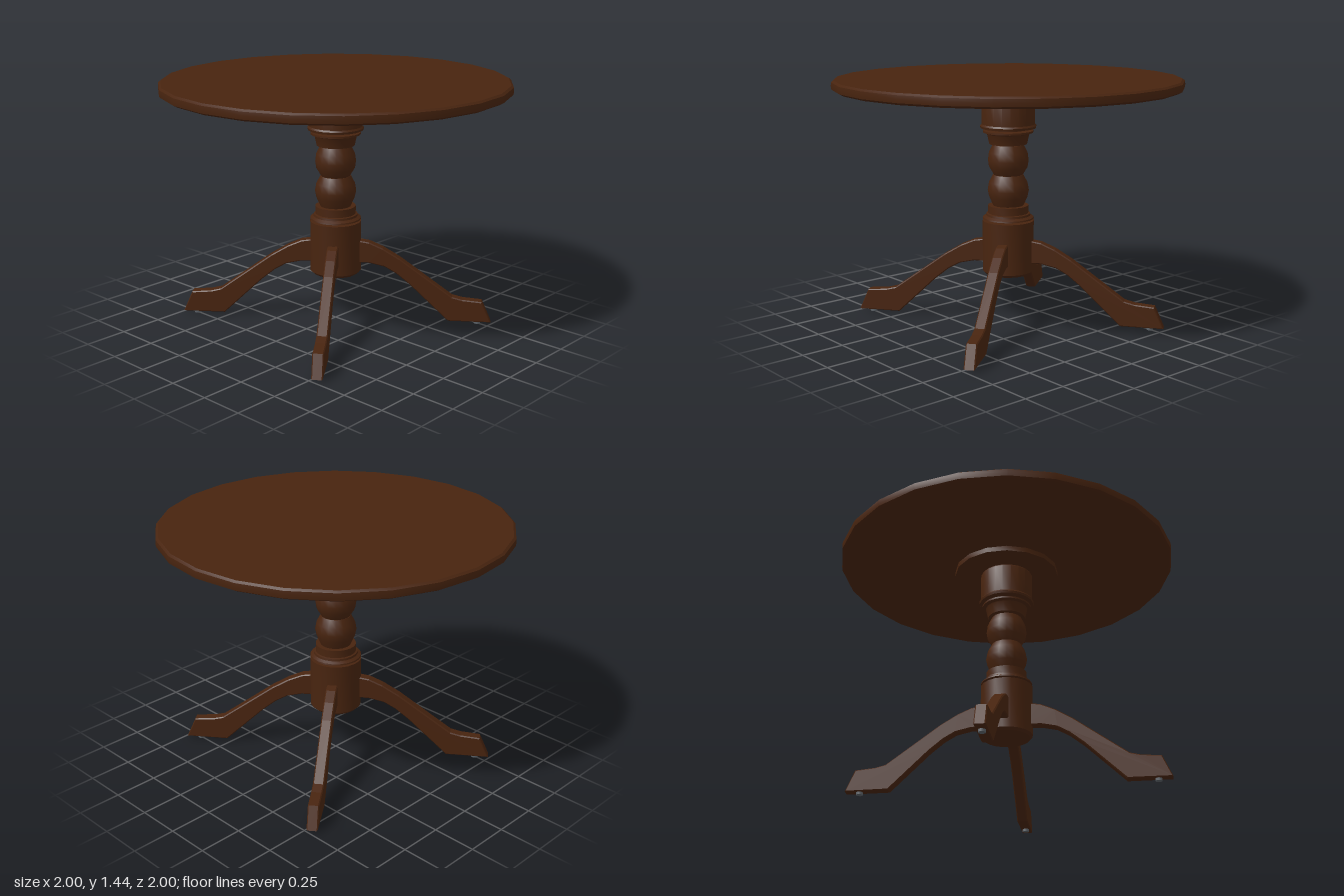
import * as THREE from 'three';
import { toCreasedNormals } from 'three/addons/utils/BufferGeometryUtils.js';

const LEG_ANGLE = 0.638; // the four legs stand a little off the diagonals

export function createModel() {
  const table = new THREE.Group();
  table.name = 'pedestalTable';

  const wood = new THREE.MeshStandardMaterial({ color: 0x48240f });
  wood.name = 'dark wood';
  const felt = new THREE.MeshStandardMaterial({ color: 0x5c6268 });
  felt.name = 'grey felt';

  // Turned part from [radius, height] pairs, listed bottom to top
  function turned(name, profile, sides) {
    const points = profile.map(([r, y]) => new THREE.Vector2(r, y));
    const geometry = toCreasedNormals(new THREE.LatheGeometry(points, sides), 0.65);
    const mesh = new THREE.Mesh(geometry, wood);
    mesh.name = name;
    table.add(mesh);
  }

  // Round top with a softened rim, and its mounting plate
  turned('tabletop', [[0, 1.378], [0.975, 1.378], [0.997, 1.39], [1, 1.41],
    [0.998, 1.43], [0.985, 1.44], [0, 1.44]], 24);
  turned('mountingPlate', [[0, 1.348], [0.31, 1.348], [0.31, 1.379], [0, 1.379]], 16);

  // Pedestal, from the floor end upwards
  turned('columnBase', [[0, 0.295], [0.135, 0.295], [0.15, 0.31], [0.15, 0.61], [0, 0.61]], 20);
  turned('lowerCollar', [[0.1, 0.61], [0.1, 0.62], [0.15, 0.622], [0.148, 0.63], [0.13, 0.64],
    [0.128, 0.652], [0.118, 0.655], [0.118, 0.7], [0, 0.7]], 20);
  turned('lowerBall', [[0, 0.698], [0.09, 0.7], [0.112, 0.75], [0.12, 0.79],
    [0.112, 0.835], [0.088, 0.88], [0, 0.882]], 16);
  turned('upperBall', [[0, 0.878], [0.085, 0.88], [0.112, 0.925], [0.118, 0.965],
    [0.112, 1.01], [0.09, 1.055], [0, 1.057]], 16);
  turned('upperCollar', [[0, 1.057], [0.11, 1.06], [0.122, 1.115], [0.125, 1.12],
    [0.145, 1.126], [0.145, 1.137], [0.1, 1.14], [0.1, 1.148], [0.16, 1.152],
    [0.163, 1.165], [0.156, 1.175]], 20);
  turned('columnHead', [[0.154, 1.172], [0.155, 1.34], [0.148, 1.35], [0, 1.35]], 20);

  // Sweeping leg: side outline in (distance from centre, height)
  const outline = [[0.1, 0.36], [0.2, 0.36], [0.29, 0.34], [0.36, 0.3], [0.44, 0.235],
    [0.67, 0.015], [0.92, 0.015], [0.865, 0.14], [0.75, 0.15], [0.69, 0.165],
    [0.38, 0.39], [0.28, 0.45], [0.2, 0.485], [0.1, 0.5]];
  const bevel = 0.006;
  const width = 0.062;
  const legGeometry = new THREE.ExtrudeGeometry(
    new THREE.Shape(outline.map(([r, y]) => new THREE.Vector2(r, y))),
    { depth: width - 2 * bevel, bevelSize: bevel, bevelThickness: bevel, bevelOffset: -bevel, bevelSegments: 1 });
  legGeometry.translate(0, 0, bevel - width / 2);
  const padGeometry = new THREE.CylinderGeometry(0.02, 0.02, 0.018, 10);

  for (let i = 0; i < 4; i++) {
    const leg = new THREE.Group();
    leg.name = 'leg' + (i + 1);
    const body = new THREE.Mesh(legGeometry, wood);
    body.name = 'legBody';
    leg.add(body);
    // Small glide under the foot
    const pad = new THREE.Mesh(padGeometry, felt);
    pad.name = 'footPad';
    pad.position.set(0.84, 0.009, 0);
    leg.add(pad);
    leg.rotation.y = LEG_ANGLE + i * Math.PI / 2;
    table.add(leg);
  }
  return table;
}
